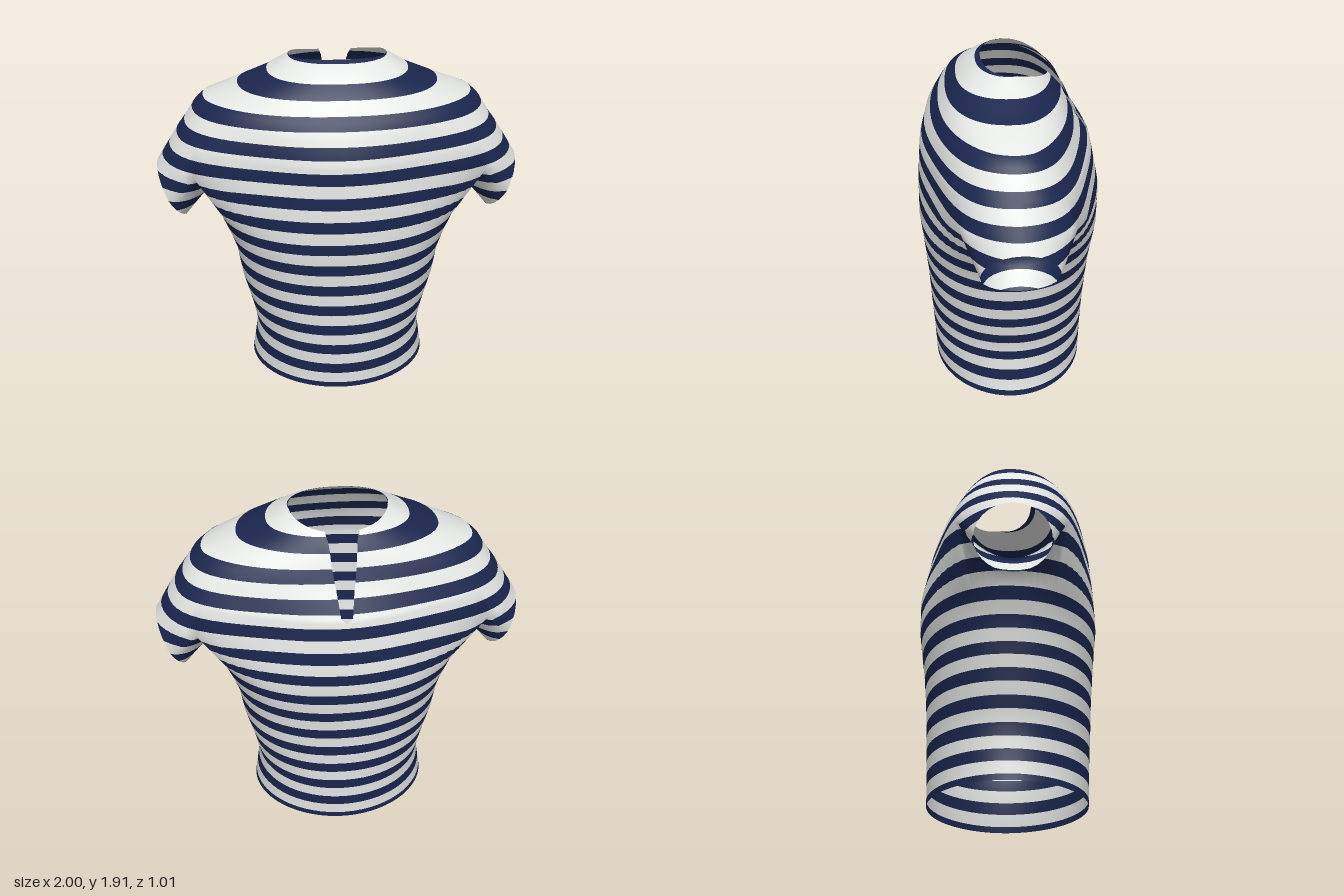
import * as THREE from 'three';
import { mergeVertices } from 'three/addons/utils/BufferGeometryUtils.js';

const RAD = Math.PI / 180, STEP = 5, ARM = 35, WARP = 26;
const mix = THREE.MathUtils.lerp;
const spow = (v, p) => Math.sign(v) * Math.abs(v) ** p;

// Yoke rings, collar to armhole: half width, side y, front z, front y, back z, back y,
// half width of the back slit, squareness (2 = ellipse), arm bulge
const YOKE = [
  [0.26, 1.895, 0.15, 1.907, 0.21, 1.84, 0.09, 2.2, 0],
  [0.32, 1.86, 0.21, 1.875, 0.24, 1.80, 0.075, 2.3, 0],
  [0.39, 1.815, 0.28, 1.825, 0.27, 1.765, 0.07, 2.4, 0],
  [0.55, 1.75, 0.345, 1.75, 0.30, 1.70, 0.065, 2.4, 0],
  [0.72, 1.69, 0.40, 1.65, 0.335, 1.63, 0.055, 2.2, 0],
  [0.77, 1.645, 0.45, 1.58, 0.365, 1.57, 0.045, 2.1, 0.03],
  [0.86, 1.505, 0.485, 1.45, 0.44, 1.46, 0.03, 2, 0.08],
  [0.87, 1.495, 0.487, 1.43, 0.447, 1.435, 0, 2, 0.08],
  [0.925, 1.41, 0.505, 1.20, 0.50, 1.18, 0, 2, 0.1],
];
const SPLIT = YOKE[YOKE.length - 1];

// Body rings below the armhole: y, half width, front z, back z, squareness
const BODY = [
  [1.0, 0.67, 0.508, 0.495, 2.2], [0.875, 0.62, 0.495, 0.48, 2.2], [0.77, 0.585, 0.485, 0.465, 2.2],
  [0.59, 0.56, 0.47, 0.45, 2.15], [0.39, 0.51, 0.46, 0.44, 2.1], [0.23, 0.48, 0.45, 0.435, 2.05],
  [0, 0.515, 0.44, 0.43, 1.95],
];

// Point on a yoke ring; angle 0 is the left side, 90 the front
function yokePoint([w, ys, zf, yf, zb, yb, , n, bulge], deg) {
  const c = Math.cos(deg * RAD), s = Math.sin(deg * RAD);
  const f = 1 + bulge * Math.cos(2 * deg * RAD) * Math.sin(2 * deg * RAD) ** 2;
  return [
    f * w * spow(c, 2 / n),
    mix(ys, s > 0 ? yf : yb, Math.abs(s) ** 1.5),
    f * spow(s, 2 / n) * (s > 0 ? zf : zb),
  ];
}

// Underarm curve joining the front and back of an armhole, u from -1 to 1
function underarm(side, u) {
  const p = yokePoint(SPLIT, (side > 0 ? 0 : 180) + ARM * side * Math.sign(u));
  return [side * mix(0.73, Math.abs(p[0]), u * u), mix(1.125, p[1], u * u), p[2] * Math.abs(u)];
}

function yokeRows() {
  return YOKE.map((row) => {
    const slit = Math.asin((row[6] / row[0]) ** (row[7] / 2)) / RAD, out = [];
    for (let k = 0; k <= 360; k += STEP) {
      const d = Math.min(k, 360 - k);
      const e = d < 35 ? slit + d * (35 - slit) / 35 : d;
      out.push(yokePoint(row, k <= 180 ? -90 + e : 270 - e));
    }
    return out;
  });
}

function bodyRows() {
  const first = [], rows = [first];
  for (let a = -90; a <= 270; a += STEP) {
    const side = a > 90 ? -1 : 1, d = side > 0 ? a : 180 - a; // d > 0 is the front
    first.push(Math.abs(d) < ARM ? underarm(side, d / ARM) : yokePoint(SPLIT, a));
  }
  for (const [y, w, zf, zb, n] of BODY) {
    const ring = [];
    for (let a = -90; a <= 270; a += STEP) {
      const d = a > 90 ? a - 180 : a, m = Math.abs(d);
      const e = Math.sign(d) * (m < ARM ? m * WARP / ARM : WARP + (m - ARM) * (90 - WARP) / (90 - ARM));
      const t = (a > 90 ? 180 + e : e) * RAD;
      const z = spow(Math.sin(t), 2 / n);
      ring.push([w * spow(Math.cos(t), 2 / n), y, z * (z > 0 ? zf : zb)]);
    }
    rows.push(ring);
  }
  return rows;
}

function sleeveRows(side) {
  const start = [], cuff = [], centre = side > 0 ? 0 : 180;
  const cuffPoint = (u, up, dx, dy) => [side * (0.93 + dx * up), 1.125 + dy * up, side * 0.2 * Math.sin(u * Math.PI / 2)];
  for (let d = -ARM; d <= ARM; d += STEP) { // over the shoulder
    const u = d / ARM;
    start.push(yokePoint(SPLIT, centre + d));
    cuff.push(cuffPoint(u, Math.cos(u * Math.PI / 2), 0.07, 0.165));
  }
  for (let d = ARM - STEP; d >= -ARM; d -= STEP) { // back along the underarm
    const u = d / ARM;
    start.push(underarm(side, side * u));
    cuff.push(cuffPoint(u, -Math.cos(u * Math.PI / 2), 0.085, 0.145));
  }
  return [0, 1 / 3, 2 / 3, 1].map((t) => start.map((p, i) => p.map((v, a) => mix(v, cuff[i][a], t))));
}

// Keep the part of a polygon on one side of a level
function clip(poly, level, sign) {
  const out = [];
  poly.forEach((p, i) => {
    const q = poly[(i + 1) % poly.length];
    const dp = (p[1] - level) * sign, dq = (q[1] - level) * sign;
    if (dp >= 0) out.push(p);
    if ((dp > 0 && dq < 0) || (dp < 0 && dq > 0)) out.push(p.map((v, a) => mix(v, q[a], dp / (dp - dq))));
  });
  return out;
}

// Cut triangles into level bands and group them as white (0) and navy (1)
const PERIOD = 0.1375, BAND = 0.067, BASE = -0.0325;
function stripe(triangles) {
  const sets = [[], []];
  for (const tri of triangles) {
    const ys = tri.map((p) => p[1]), top = Math.max(...ys), low = Math.min(...ys);
    for (let k = Math.floor((low - BASE) / PERIOD); BASE + k * PERIOD < top; k++) {
      const a = BASE + k * PERIOD;
      [[a + BAND, a + PERIOD], [a, a + BAND]].forEach(([lo, hi], c) => {
        const poly = clip(clip(tri, lo, 1), hi, -1);
        for (let i = 1; i + 1 < poly.length; i++) sets[c].push(poly[0], poly[i], poly[i + 1]);
      });
    }
  }
  const all = [...sets[0], ...sets[1]];
  const g = new THREE.BufferGeometry();
  g.setAttribute('position', new THREE.Float32BufferAttribute(all.flatMap((p) => p.slice(0, 3)), 3));
  g.setAttribute('normal', new THREE.Float32BufferAttribute(all.flatMap((p) => p.slice(3)), 3));
  g.normalizeNormals();
  g.addGroup(0, sets[0].length, 0);
  g.addGroup(sets[0].length, sets[1].length, 1);
  return g;
}

export function createModel() {
  const white = new THREE.MeshStandardMaterial({ color: 0xe6e8e6, side: THREE.DoubleSide });
  white.name = 'white fabric';
  const navy = new THREE.MeshStandardMaterial({ color: 0x1b264e, side: THREE.DoubleSide });
  navy.name = 'navy stripe';

  // Weld all parts once so the shading runs smoothly across the joins
  const pos = [], index = [], parts = [];
  const addPart = (name, rows) => {
    const base = pos.length / 3, n = rows[0].length, start = index.length;
    rows.forEach((r) => r.forEach((p) => pos.push(...p)));
    for (let i = 0; i + 1 < rows.length; i++) {
      for (let j = 0; j + 1 < n; j++) {
        const a = base + i * n + j, c = a + n;
        index.push(a, a + 1, c, a + 1, c + 1, c);
      }
    }
    parts.push([name, start, index.length]);
  };
  addPart('yoke', yokeRows());
  addPart('body', bodyRows());
  addPart('leftSleeve', sleeveRows(1));
  addPart('rightSleeve', sleeveRows(-1));

  let skin = new THREE.BufferGeometry();
  skin.setAttribute('position', new THREE.Float32BufferAttribute(pos, 3));
  skin.setIndex(index);
  skin = mergeVertices(skin, 1e-4);
  skin.computeVertexNormals();

  const P = skin.attributes.position, N = skin.attributes.normal, I = skin.index;
  const vertex = (i) => [P.getX(i), P.getY(i), P.getZ(i), N.getX(i), N.getY(i), N.getZ(i)];
  const shirt = new THREE.Group();
  shirt.name = 'stripedShirt';
  for (const [name, from, to] of parts) {
    const tris = [];
    for (let i = from; i < to; i += 3) tris.push([0, 1, 2].map((k) => vertex(I.getX(i + k))));
    const mesh = new THREE.Mesh(stripe(tris), [white, navy]);
    mesh.name = name;
    shirt.add(mesh);
  }
  return shirt;
}
